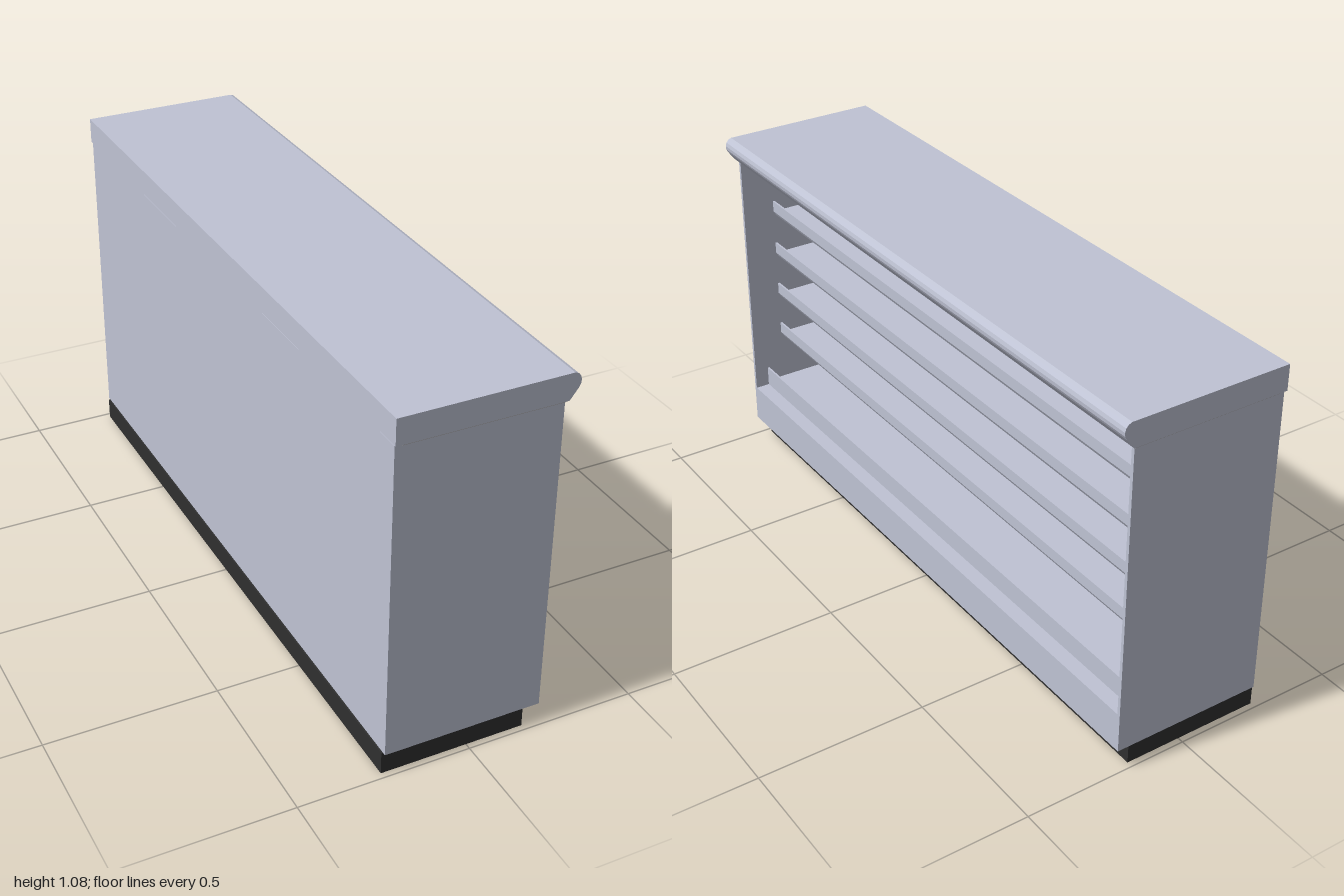
import * as THREE from 'three';

const metal = new THREE.MeshStandardMaterial({ color: 0xbfc3d4 });
metal.name = 'blueGreyMetal';
const plinthBlack = new THREE.MeshStandardMaterial({ color: 0x2f2f2f });
plinthBlack.name = 'plinthBlack';
const ceilingGrey = new THREE.MeshStandardMaterial({ color: 0xaaaaaa });
ceilingGrey.name = 'ceilingGrey';

export function createModel() {
  const model = new THREE.Group();
  model.name = 'displayShelfCounter';

  // Box given by its limits on each axis
  function box(name, material, x0, x1, y0, y1, z0, z1) {
    const mesh = new THREE.Mesh(new THREE.BoxGeometry(x1 - x0, y1 - y0, z1 - z0), material);
    mesh.position.set((x0 + x1) / 2, (y0 + y1) / 2, (z0 + z1) / 2);
    mesh.name = name;
    model.add(mesh);
  }

  // x/y profile run along z, centred
  function run(name, profile, halfLength, y = 0) {
    const shape = new THREE.Shape(profile.map(([px, py]) => new THREE.Vector2(px, py)));
    const geometry = new THREE.ExtrudeGeometry(shape, { depth: halfLength * 2, bevelEnabled: false });
    const mesh = new THREE.Mesh(geometry, metal);
    mesh.position.set(0, y, -halfLength);
    mesh.name = name;
    model.add(mesh);
  }

  // Recessed plinth
  box('plinth', plinthBlack, -0.253, 0.17, 0, 0.067, -0.982, 0.982);

  // Carcass: back, two sides, floor and front rail
  box('backPanel', metal, -0.248, -0.23, 0.067, 0.997, -0.982, 0.982);
  for (const side of [-1, 1]) {
    const a = side * 0.982, b = side * 0.992;
    box(side > 0 ? 'leftSidePanel' : 'rightSidePanel', metal,
      -0.248, 0.213, 0.067, 0.997, Math.min(a, b), Math.max(a, b));
  }
  box('floorAndFrontRail', metal, -0.23, 0.213, 0.067, 0.185, -0.982, 0.982);

  // Bottom deck with its upright lip
  run('bottomDeck', [
    [-0.23, 0.18], [0.168, 0.18], [0.168, 0.248], [0.162, 0.248], [0.162, 0.2], [-0.23, 0.2],
  ], 0.982);

  // Four shelves with a front lip and rounded underside
  const shelfProfile = [
    [-0.23, 0], [0.05, 0], [0.085, 0.005], [0.102, 0.014], [0.11, 0.028],
    [0.11, 0.063], [0.104, 0.063], [0.104, 0.028], [-0.23, 0.028],
  ];
  for (let i = 0; i < 4; i++) run('shelf' + (i + 1), shelfProfile, 0.982, 0.338 + i * 0.1457);

  // Ceiling panel under the worktop
  box('ceilingPanel', ceilingGrey, -0.23, 0.214, 0.996, 1.0, -0.996, 0.996);

  // Worktop with a shaped front nose
  run('worktop', [
    [-0.25, 1.0], [0.22, 1.0], [0.243, 1.03], [0.249, 1.041], [0.25, 1.052],
    [0.247, 1.063], [0.24, 1.071], [0.23, 1.075], [-0.25, 1.075],
  ], 1);

  return model;
}
